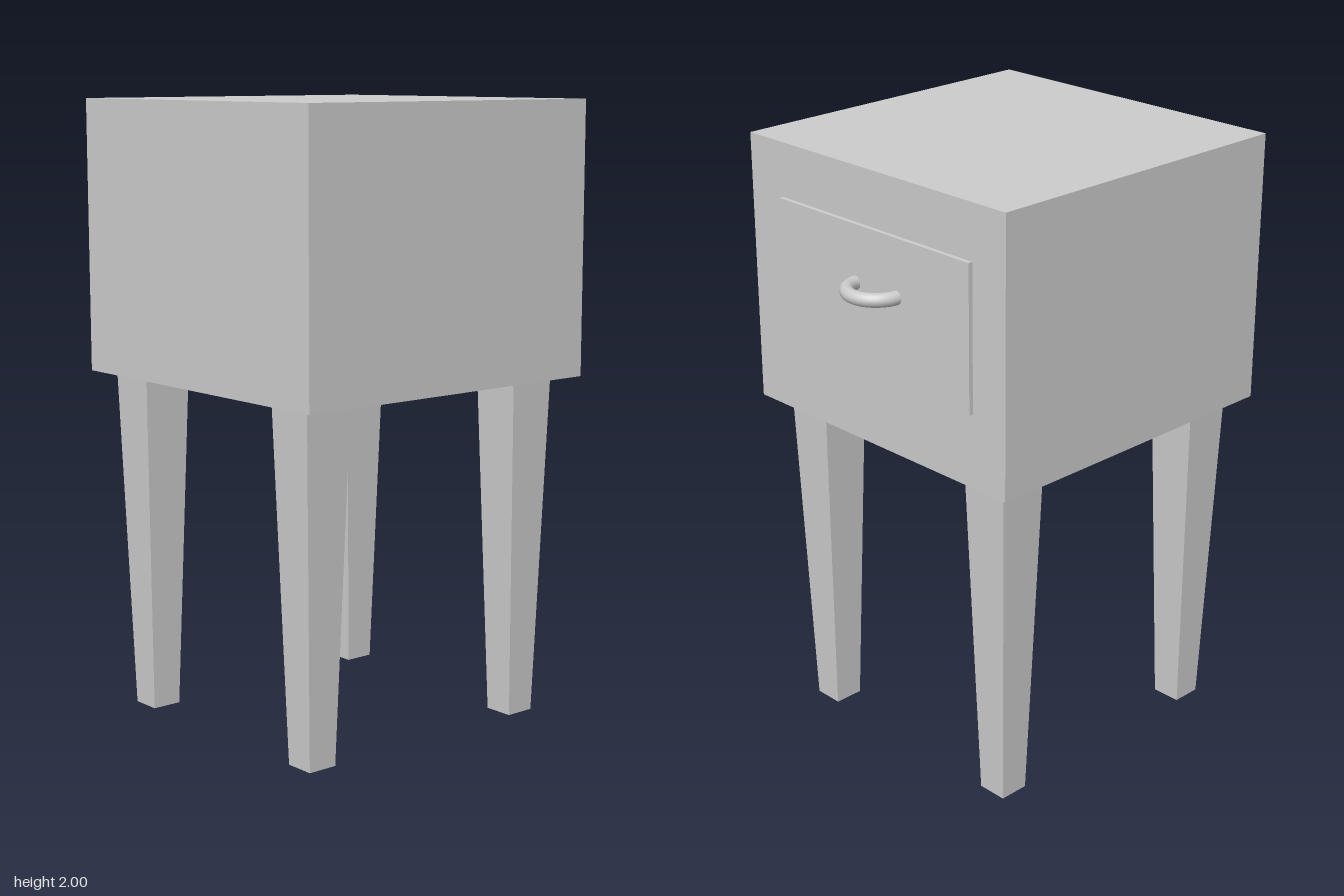
import * as THREE from 'three';

const material = new THREE.MeshStandardMaterial({ color: 0xcccccc });

function addMesh(parent, name, geometry, x, y, z) {
  const mesh = new THREE.Mesh(geometry, material);
  mesh.name = name;
  mesh.position.set(x, y, z);
  parent.add(mesh);
  return mesh;
}

// Square leg narrowing towards the floor, base at y = 0
function taperedLeg(topWidth, footWidth, height) {
  const geometry = new THREE.BoxGeometry(topWidth, height, topWidth);
  geometry.translate(0, height / 2, 0);
  const p = geometry.attributes.position;
  const k = footWidth / topWidth;
  for (let i = 0; i < p.count; i++) {
    if (p.getY(i) < height / 2) p.setXYZ(i, p.getX(i) * k, p.getY(i), p.getZ(i) * k);
  }
  geometry.computeVertexNormals();
  return geometry;
}

export function createModel() {
  const model = new THREE.Group();
  model.name = 'nightstand';

  // Cabinet
  addMesh(model, 'cabinet', new THREE.BoxGeometry(1.122, 0.88, 1.125), 0, 1.56, 0.06);

  // Four legs
  const legs = new THREE.Group();
  legs.name = 'legs';
  model.add(legs);
  const legGeometry = taperedLeg(0.166, 0.1, 1.12);
  for (const [side, x] of [['left', 0.401], ['right', -0.411]]) {
    for (const [end, z] of [['Front', 0.485], ['Back', -0.36]]) {
      addMesh(legs, `${side}${end}Leg`, legGeometry, x, 0, z);
    }
  }

  // Drawer panel and its half-ring pull
  const drawer = new THREE.Group();
  drawer.name = 'drawer';
  model.add(drawer);
  addMesh(drawer, 'drawerPanel', new THREE.BoxGeometry(0.839, 0.466, 0.03), -0.008, 1.592, -0.502);
  const pull = new THREE.TorusGeometry(0.092, 0.022, 16, 32, Math.PI);
  pull.rotateX(-Math.PI / 2);
  addMesh(drawer, 'drawerHandle', pull, -0.028, 1.64, -0.51);

  return model;
}
